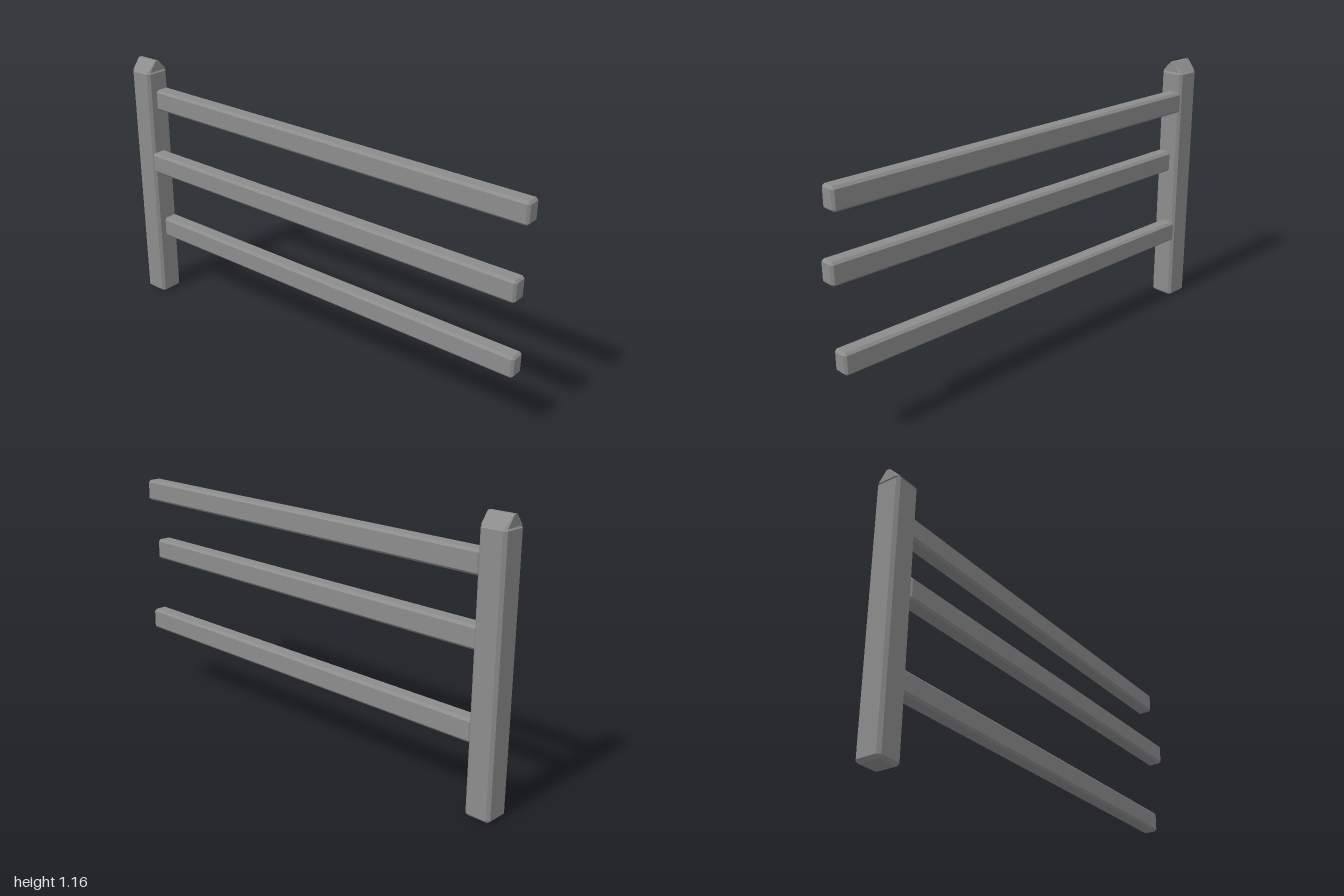
import * as THREE from 'three';
import { ConvexGeometry } from 'three/addons/geometries/ConvexGeometry.js';

const SIGNS = [-1, 1];

// Box between two corners with every edge chamfered by c
function chamferedBox([x0, y0, z0], [x1, y1, z1], c) {
  const half = [(x1 - x0) / 2, (y1 - y0) / 2, (z1 - z0) / 2];
  const points = [];
  for (const sx of SIGNS) for (const sy of SIGNS) for (const sz of SIGNS) {
    for (let axis = 0; axis < 3; axis++) {
      const p = half.map((h, i) => (i === axis ? h : h - c));
      points.push(new THREE.Vector3(p[0] * sx, p[1] * sy, p[2] * sz));
    }
  }
  const geometry = new ConvexGeometry(points);
  geometry.translate((x0 + x1) / 2, (y0 + y1) / 2, (z0 + z1) / 2);
  return geometry;
}

// Gabled cap with a narrow flat ridge along x and clipped eave corners
function gableCap(halfX, halfZ, height, ridge, clip) {
  const points = [];
  for (const sx of SIGNS) for (const sz of SIGNS) {
    points.push(
      new THREE.Vector3(sx * (halfX - clip), 0, sz * halfZ),
      new THREE.Vector3(sx * halfX, 0, sz * (halfZ - clip)),
      new THREE.Vector3(sx * halfX, height, sz * ridge),
    );
  }
  return new ConvexGeometry(points);
}

export function createModel() {
  const model = new THREE.Group();
  model.name = 'fenceSection';
  const grey = new THREE.MeshStandardMaterial({ color: 0x8c8c8c });
  grey.name = 'grey';

  const add = (name, geometry) => {
    const mesh = new THREE.Mesh(geometry, grey);
    mesh.name = name;
    model.add(mesh);
    return mesh;
  };

  // Upright post
  add('post', chamferedBox([-1, 0, -0.056], [-0.888, 1.114, 0.056], 0.012));

  // Pointed cap on the post
  add('postCap', gableCap(0.055, 0.055, 0.046, 0.008, 0.011)).position.set(-0.944, 1.11, 0);

  // Rails: the middle one sits forward, the other two sit back
  const rails = [
    ['topRail', 0.975, -0.02],
    ['middleRail', 0.683, 0.022],
    ['bottomRail', 0.341, -0.02],
  ];
  for (const [name, y, z] of rails) {
    add(name, chamferedBox([-0.9, y - 0.047, z - 0.035], [1, y + 0.047, z + 0.035], 0.01));
  }

  return model;
}
